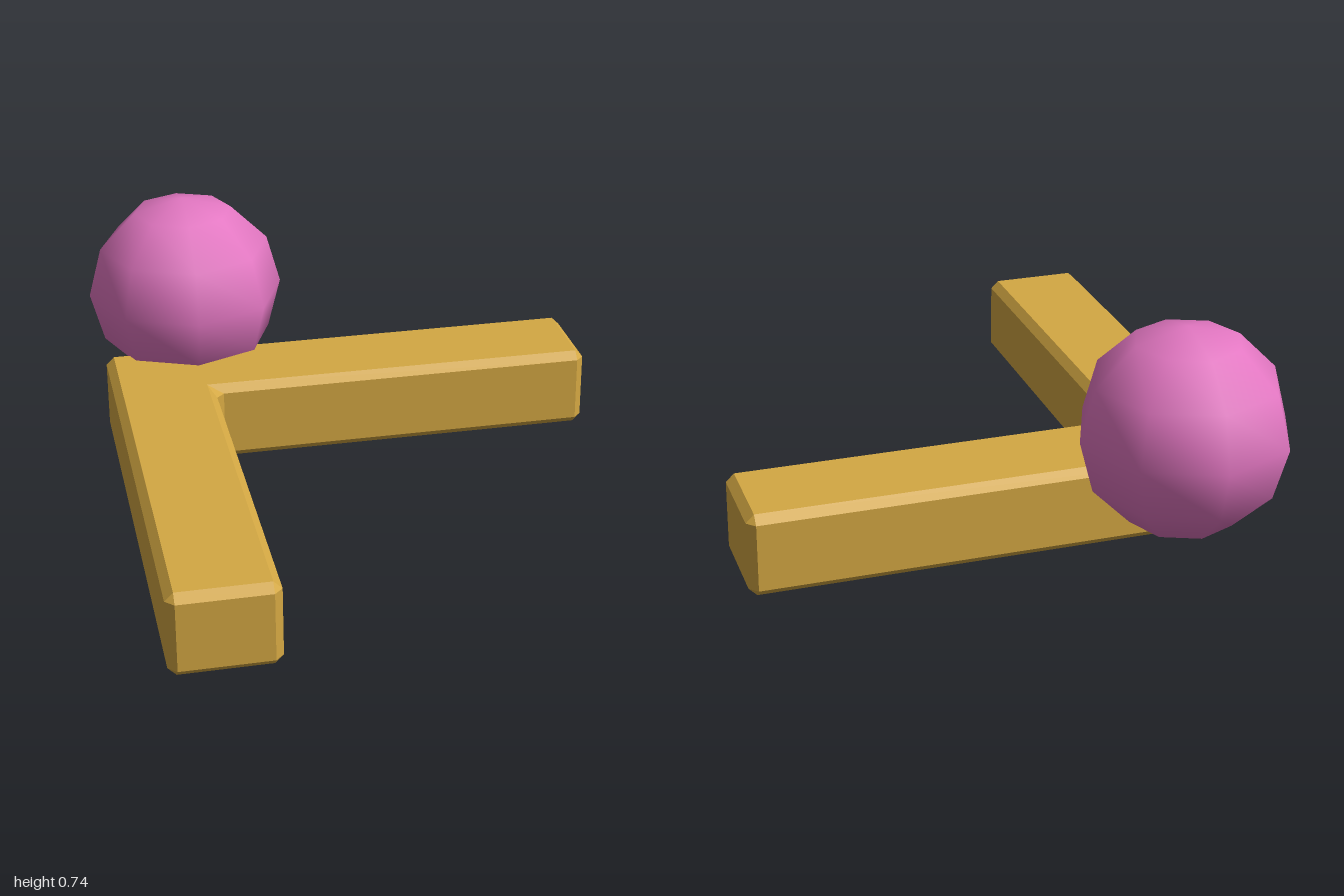
import * as THREE from 'three';

const gold = new THREE.MeshStandardMaterial({ color: 0xd4a843 });
gold.name = 'gold';
const pink = new THREE.MeshStandardMaterial({ color: 0xe377c2 });
pink.name = 'pink';

// Chamfered L-shaped bar; corners are [x, z], clockwise seen from above
function chamferedPrism(corners, height, bevel) {
  const n = corners.length;
  const cap = [];  // inset outline, each point doubled to match the side outline
  const side = []; // full outline with every upright edge cut
  corners.forEach(([x, z], i) => {
    const p = new THREE.Vector2(x, z);
    const toPrev = new THREE.Vector2(...corners[(i + n - 1) % n]).sub(p).setLength(bevel);
    const toNext = new THREE.Vector2(...corners[(i + 1) % n]).sub(p).setLength(bevel);
    const inward = toNext.cross(toPrev) > 0 ? 1 : -1;
    const inset = p.clone().addScaledVector(toPrev, inward).addScaledVector(toNext, inward);
    cap.push(inset, inset);
    side.push(p.clone().add(toPrev), p.clone().add(toNext));
  });

  const rings = [[cap, 0], [side, bevel], [side, height - bevel], [cap, height]]
    .map(([ring, y]) => ring.map(p => new THREE.Vector3(p.x, y, p.y)));
  const points = [];
  const face = (a, b, c) => {
    if (!a.equals(b) && !b.equals(c) && !c.equals(a)) points.push(a, b, c);
  };

  // Walls and chamfers
  for (let r = 0; r < 3; r++) {
    for (let i = 0; i < 2 * n; i++) {
      const j = (i + 1) % (2 * n);
      face(rings[r][i], rings[r + 1][i], rings[r + 1][j]);
      face(rings[r][i], rings[r + 1][j], rings[r][j]);
    }
  }
  // Bottom and top, fanned from the outer corner
  for (let i = 1; i < n - 1; i++) {
    face(rings[0][0], rings[0][2 * i], rings[0][2 * i + 2]);
    face(rings[3][0], rings[3][2 * i + 2], rings[3][2 * i]);
  }

  const geometry = new THREE.BufferGeometry().setFromPoints(points);
  geometry.computeVertexNormals();
  return geometry;
}

export function createModel() {
  const model = new THREE.Group();

  const outline = [
    [-0.76, -0.55], [0.79, -0.55], [0.79, -0.23],
    [-0.44, -0.23], [-0.44, 1], [-0.76, 1],
  ];
  const bar = new THREE.Mesh(chamferedPrism(outline, 0.26, 0.025), gold);
  bar.name = 'cornerBar';

  // Coarse, smoothly shaded ball sunk into the corner
  const ball = new THREE.Mesh(new THREE.SphereGeometry(0.32, 8, 6), pink);
  ball.name = 'ball';
  ball.position.set(-0.47, 0.42, -0.68);

  model.add(bar, ball);
  return model;
}
